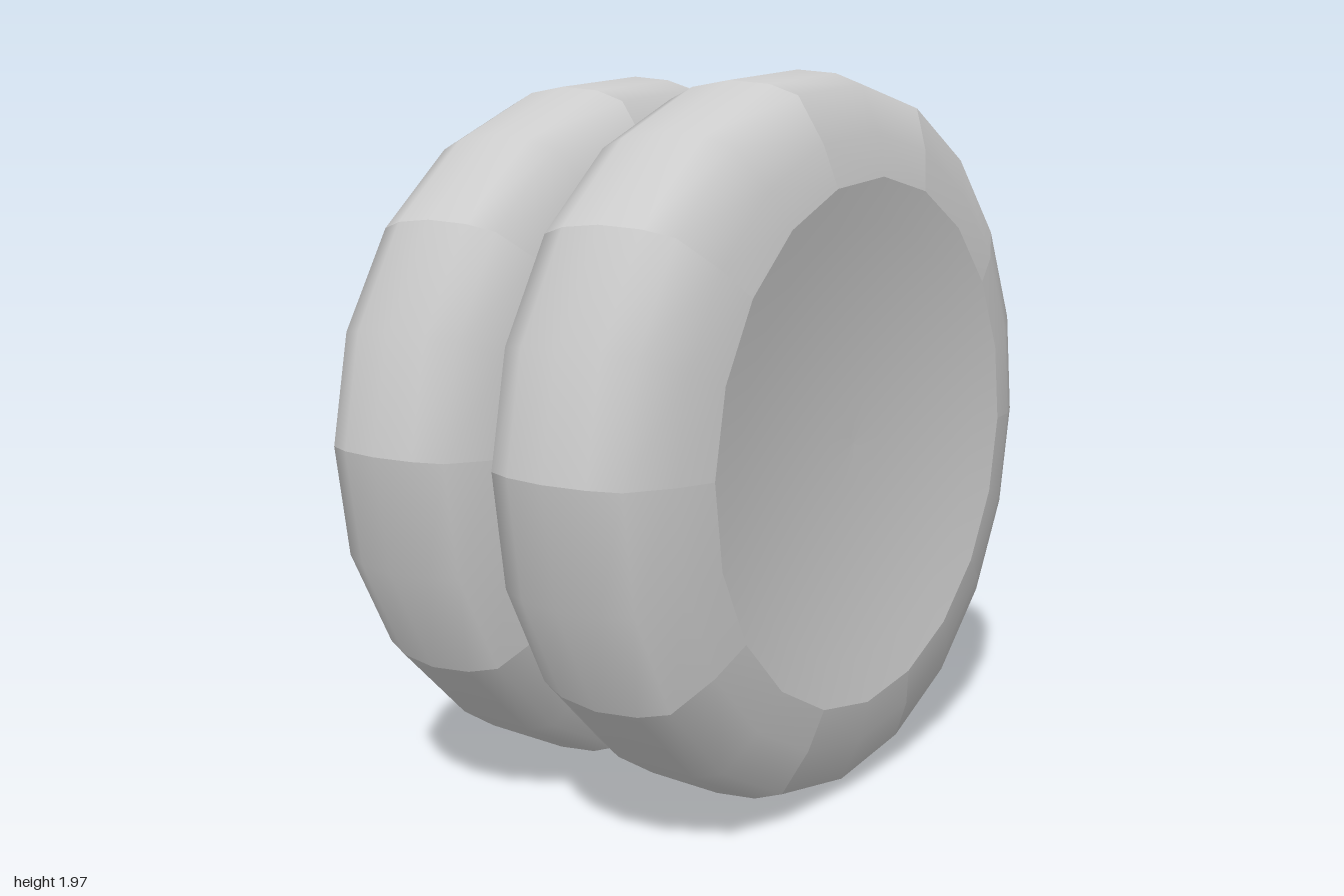
import * as THREE from 'three';
import { mergeGeometries } from 'three/addons/utils/BufferGeometryUtils.js';

const START = -0.025;      // slight roll of the facets
const SIDES = 20;
const material = new THREE.MeshStandardMaterial({ color: 0xcccccc });

// Turn a profile of [radius, x] pairs around the x axis
function turn(profile, segments, start, length) {
  const points = profile.map(([r, x]) => new THREE.Vector2(r, x));
  const geometry = new THREE.LatheGeometry(points, segments, start, length);
  geometry.computeVertexNormals();
  return geometry.rotateZ(-Math.PI / 2);
}

// Rounded rim made of ten panels, smooth within and creased between
function rimGeometry() {
  const profile = [
    [0.715, -0.276], [0.83, -0.253], [0.955, -0.2], [0.986, -0.12], [1, 0],
    [0.986, 0.12], [0.955, 0.2], [0.83, 0.253], [0.715, 0.276],
  ];
  const panels = [];
  const step = (Math.PI * 2) / 10;
  for (let i = 0; i < 10; i++) panels.push(turn(profile, 2, START + i * step, step));
  return mergeGeometries(panels);
}

// Shallow concave face; side is +1 or -1 along x
function dishGeometry(side) {
  const profile = [];
  for (let i = 0; i <= 6; i++) {
    const t = i / 6;
    profile.push([0.715 * t, side * (0.206 + 0.07 * t * t)]);
  }
  if (side > 0) profile.reverse();
  const points = profile.map(([r, x]) => new THREE.Vector2(r, x));
  return new THREE.LatheGeometry(points, SIDES, START).rotateZ(-Math.PI / 2);
}

function createDisc(name) {
  const disc = new THREE.Group();
  disc.name = name;
  const add = (partName, geometry) => {
    const mesh = new THREE.Mesh(geometry, material);
    mesh.name = partName;
    disc.add(mesh);
  };
  add('rim', rimGeometry());
  add('leftDish', dishGeometry(1));
  add('rightDish', dishGeometry(-1));
  return disc;
}

export function createModel() {
  const model = new THREE.Group();
  model.name = 'twinDiscs';
  for (const side of [1, -1]) {
    const disc = createDisc(side > 0 ? 'leftDisc' : 'rightDisc');
    disc.position.set(side * 0.281, 0.987, 0);
    disc.scale.y = 0.987;
    model.add(disc);
  }
  return model;
}
